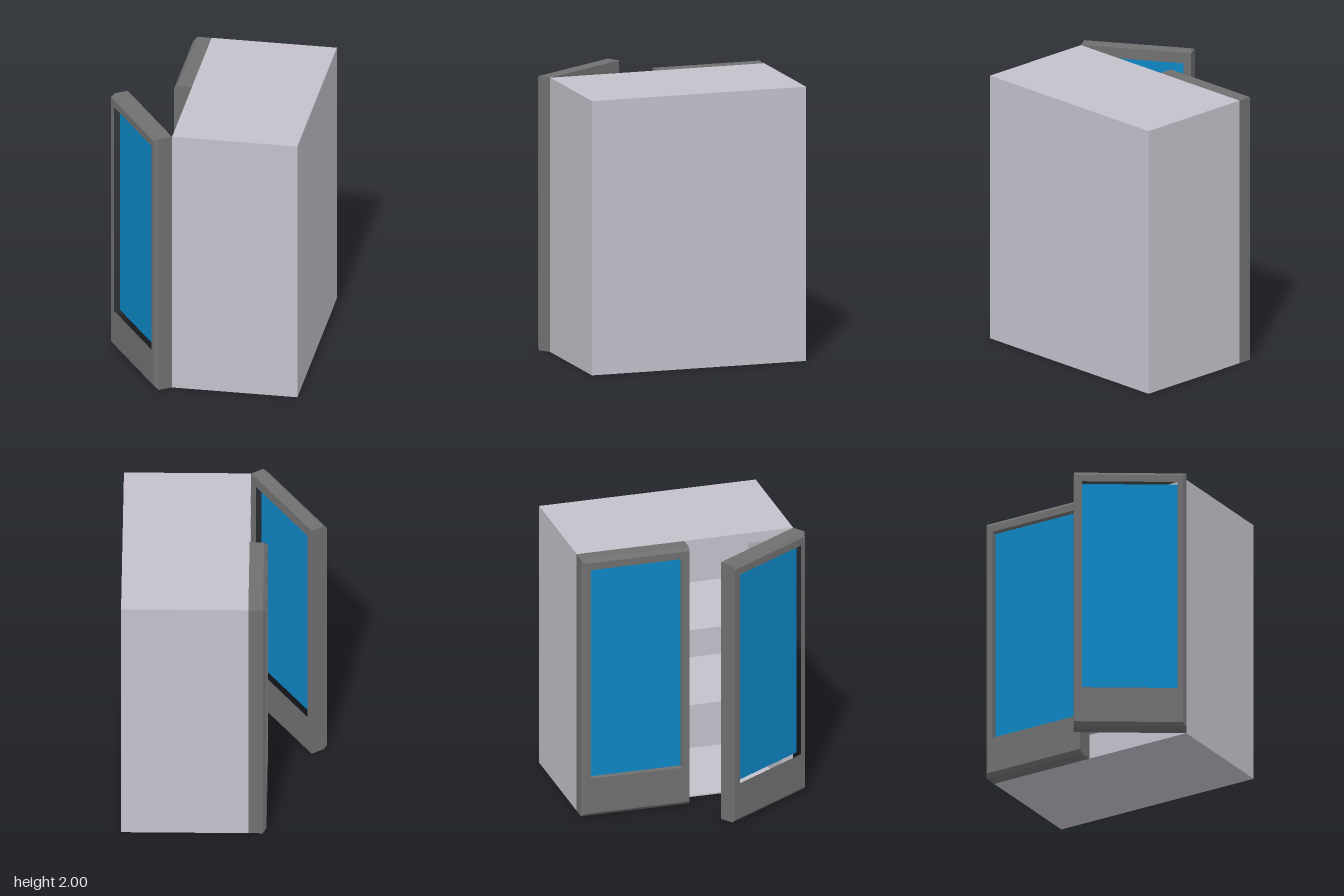
import * as THREE from 'three';

const lavender = new THREE.MeshStandardMaterial({ color: 0xc4c1cb });
const darkGrey = new THREE.MeshStandardMaterial({ color: 0x707070 });
const blue = new THREE.MeshStandardMaterial({ color: 0x0d86c4 });

// Body extents; the cabinet opens towards -x
const X0 = -0.18, X1 = 0.73, Z0 = -0.84, Z1 = 0.78, H = 2, T = 0.085;
const DOOR_W = 0.806, DOOR_T = 0.13, BEVEL = 0.026;

// Box given by its minimum and maximum corners
function block(name, material, [x0, y0, z0], [x1, y1, z1]) {
  const mesh = new THREE.Mesh(new THREE.BoxGeometry(x1 - x0, y1 - y0, z1 - z0), material);
  mesh.position.set((x0 + x1) / 2, (y0 + y1) / 2, (z0 + z1) / 2);
  mesh.name = name;
  return mesh;
}

function rectangle(path, x0, y0, x1, y1) {
  path.moveTo(x0, y0);
  path.lineTo(x1, y0);
  path.lineTo(x1, y1);
  path.lineTo(x0, y1);
  path.closePath();
  return path;
}

// Door with its hinge on the local y axis, extending along side * x, outside facing +z
function makeDoor(name, side) {
  const door = new THREE.Group();
  door.name = name;
  const a = side * 0.066, b = side * 0.75, low = 0.295, high = 1.92;

  const outline = rectangle(new THREE.Shape(), 0, 0, side * DOOR_W, H);
  outline.holes.push(rectangle(new THREE.Path(), a, low, b, high));
  const geometry = new THREE.ExtrudeGeometry(outline, { depth: DOOR_T, steps: 5, bevelEnabled: false });

  // Chamfer the outer face at the hinge side, top and bottom
  const p = geometry.attributes.position;
  for (let i = 0; i < p.count; i++) {
    if (p.getZ(i) < DOOR_T - 0.001) continue;
    if (Math.abs(p.getX(i)) < 0.001) p.setX(i, side * BEVEL);
    if (p.getY(i) < 0.001) p.setY(i, BEVEL);
    if (p.getY(i) > H - 0.001) p.setY(i, H - BEVEL);
  }
  geometry.computeVertexNormals();
  const frame = new THREE.Mesh(geometry, darkGrey);
  frame.name = 'doorFrame';

  // Recessed window pane
  const pane = block('windowPane', blue,
    [Math.min(a, b), low, 0.045], [Math.max(a, b), high, 0.085]);
  door.add(frame, pane);
  return door;
}

export function createModel() {
  const model = new THREE.Group();
  model.name = 'displayCabinet';

  // Carcass
  const inner0 = Z0 + T, inner1 = Z1 - T, back = X1 - T, top = H - 0.08;
  model.add(
    block('leftEndWall', lavender, [X0, 0, inner1], [X1, H, Z1]),
    block('rightEndWall', lavender, [X0, 0, Z0], [X1, H, inner0]),
    block('backWall', lavender, [back, 0, inner0], [X1, H, inner1]),
    block('ceiling', lavender, [X0, top, inner0], [back, H, inner1]),
    block('floor', lavender, [X0, 0, inner0], [back, 0.01, inner1]),
  );

  // Shelves
  for (const y of [0.64, 1.225]) {
    model.add(block('shelf', lavender, [X0, y, inner0], [back, y + 0.075, inner1]));
  }

  // Closed door and open door
  const closedDoor = makeDoor('closedDoor', 1);
  closedDoor.position.set(X0, 0, Z0);
  closedDoor.rotation.y = -Math.PI / 2;

  const openDoor = makeDoor('openDoor', -1);
  openDoor.position.set(X0, 0, Z1);
  openDoor.rotation.y = -0.992;

  model.add(closedDoor, openDoor);
  return model;
}
